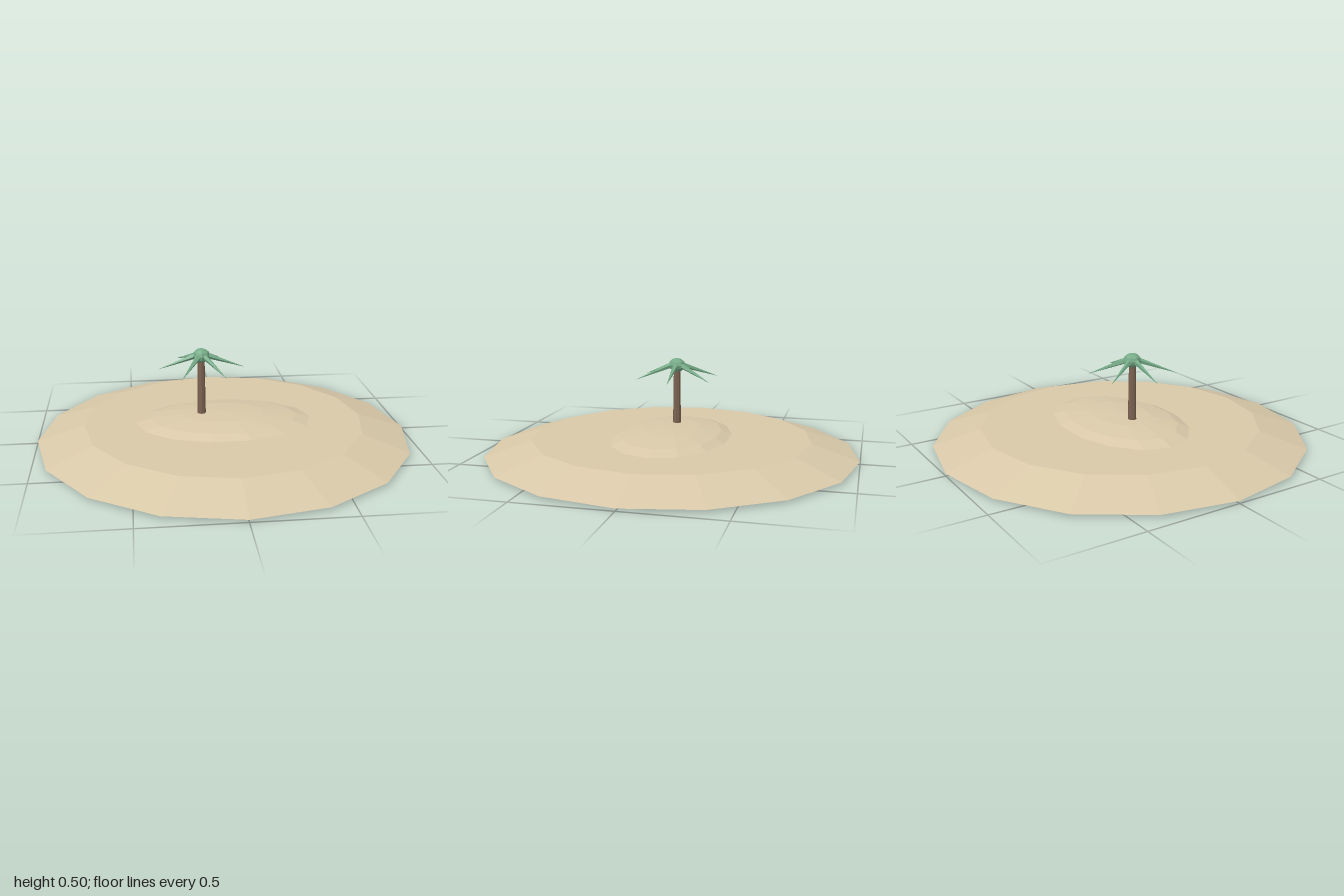
import * as THREE from 'three';

export function createModel() {
  const island = new THREE.Group();
  island.name = 'island';

  const flat = (color) => new THREE.MeshStandardMaterial({ color, flatShading: true });
  const sand = flat(0xd8c8a8);
  const bark = flat(0x7a6250);
  const leaf = flat(0x75ab87);

  const add = (parent, name, geometry, material, x = 0, y = 0, z = 0) => {
    const mesh = new THREE.Mesh(geometry, material);
    mesh.name = name;
    mesh.position.set(x, y, z);
    parent.add(mesh);
    return mesh;
  };

  // Sloped sand disc
  const bottom = 0.0125, top = 0.093;
  add(island, 'sandBase', new THREE.CylinderGeometry(0.75, 1, top - bottom, 16), sand,
    0, (top + bottom) / 2, 0);

  // Oval mound, its underside bulging slightly below the disc
  const mound = add(island, 'sandMound', new THREE.SphereGeometry(1, 14, 7), sand, 0, 0.072, 0);
  mound.scale.set(0.504, 0.072, 0.338);

  // Palm tree
  const palm = new THREE.Group();
  palm.name = 'palmTree';
  palm.position.x = -0.12;
  island.add(palm);

  const trunkBottom = 0.11, trunkTop = 0.45;
  add(palm, 'trunk', new THREE.CylinderGeometry(0.018, 0.023, trunkTop - trunkBottom, 8), bark,
    0, (trunkTop + trunkBottom) / 2, 0);

  const crown = add(palm, 'crown', new THREE.SphereGeometry(0.047, 8, 6), leaf, 0, 0.462, 0);
  crown.scale.y = 0.8;

  // Six pointed fronds drooping outwards from the crown
  const start = new THREE.Vector3(0, 0.472, 0);
  const up = new THREE.Vector3(0, 1, 0);
  for (let i = 0; i < 6; i++) {
    const a = (i * Math.PI) / 3;
    const tip = new THREE.Vector3(Math.cos(a) * 0.235, 0.39, Math.sin(a) * 0.235);
    const along = tip.clone().sub(start);
    const length = along.length();
    const geometry = new THREE.ConeGeometry(0.018, length, 5).translate(0, length / 2, 0);
    const frond = add(palm, `frond${i + 1}`, geometry, leaf, start.x, start.y, start.z);
    frond.quaternion.setFromUnitVectors(up, along.normalize());
  }

  return island;
}
